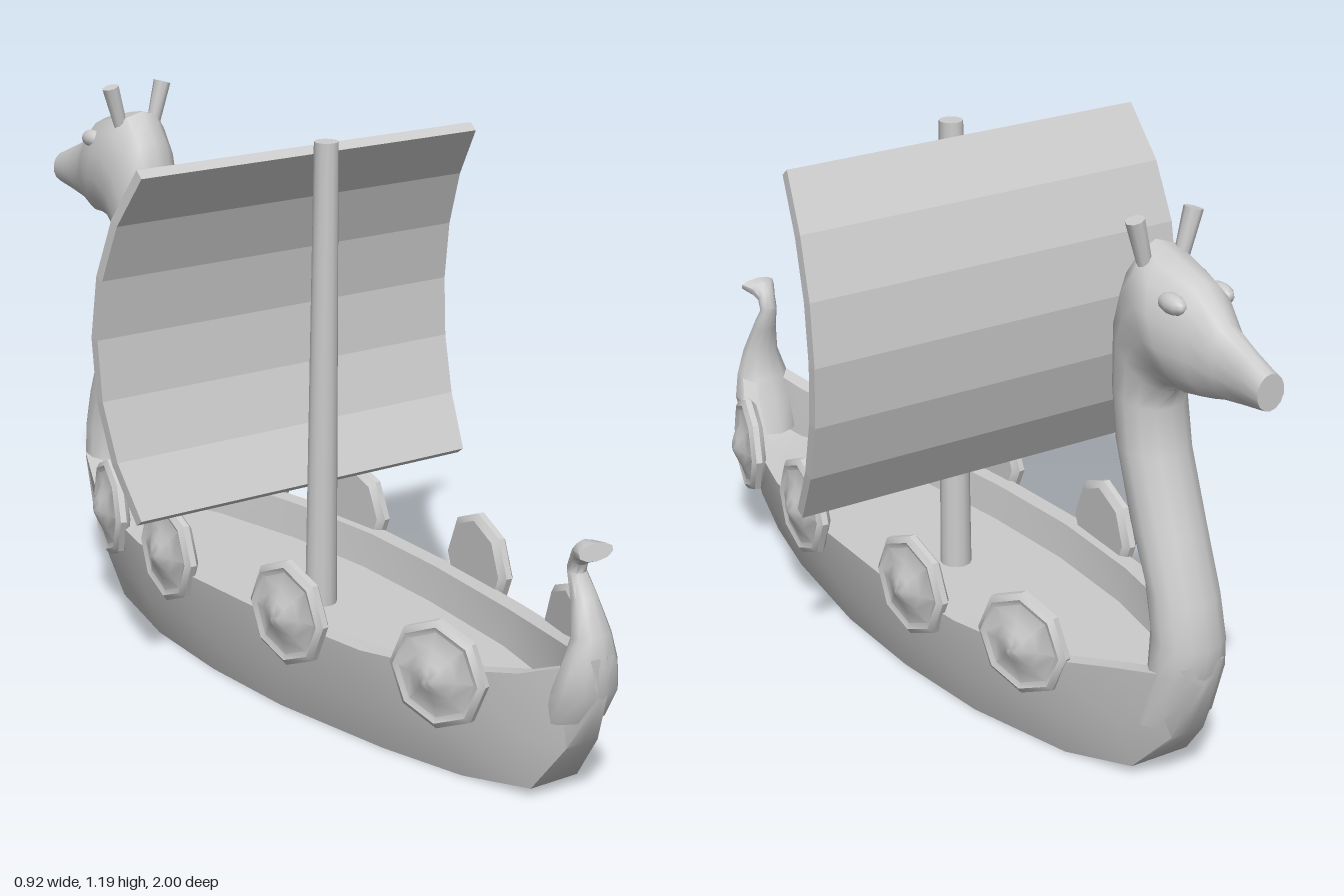
import * as THREE from 'three';
import { toCreasedNormals, mergeVertices } from 'three/addons/utils/BufferGeometryUtils.js';

const material = new THREE.MeshStandardMaterial({ color: 0xcccccc });

function part(name, geometry, parent) {
  const mesh = new THREE.Mesh(geometry, material);
  mesh.name = name;
  parent.add(mesh);
  return mesh;
}

// Skin a list of equal-sized rings and close both ends.
function loft(rings, crease) {
  const n = rings[0].length, pos = rings.flat(2), index = [];
  for (let i = 0; i < rings.length - 1; i++) {
    for (let j = 0; j < n; j++) {
      const a = i * n + j, b = i * n + (j + 1) % n, c = a + n, d = b + n;
      index.push(a, c, b, b, c, d);
    }
  }
  const last = (rings.length - 1) * n;
  for (let j = 1; j < n - 1; j++) {
    index.push(0, j, j + 1, last, last + j + 1, last + j);
  }
  const g = new THREE.BufferGeometry();
  g.setAttribute('position', new THREE.Float32BufferAttribute(pos, 3));
  g.setIndex(index);
  return toCreasedNormals(g, crease);
}

// Oval rings spanning two outline points, given as [za, ya, zb, yb, halfWidth].
function ovalRings(stations, sides) {
  return stations.map(([za, ya, zb, yb, w]) => Array.from({ length: sides }, (_, k) => {
    const t = k / sides * Math.PI * 2, c = Math.cos(t) / 2;
    return [-w * Math.sin(t), (ya + yb) / 2 + (ya - yb) * c, (za + zb) / 2 + (za - zb) * c];
  }));
}

// Hull section: outer skin, rim, inner wall and deck, mirrored across x.
function hullRing([z, yb, yr, wb, wr]) {
  const h = yr - yb, deck = Math.min(Math.max(0.15, yb + 0.04), yr - 0.01);
  const inner = Math.max(wr - 0.04, wr * 0.4);
  const half = [
    [wb, yb], [wb + (wr - wb) * 0.65, yb + h * 0.45], [wr, yr],
    [inner, yr], [inner * 0.93, deck],
  ];
  return [
    [0, yb, z], ...half.map(([x, y]) => [x, y, z]),
    [0, deck, z], ...half.reverse().map(([x, y]) => [-x, y, z]),
  ];
}

export function createModel() {
  const model = new THREE.Group();
  model.name = 'longship';

  // Hull stations: z, bottom y, rim y, bottom half width, rim half width
  part('hull', loft([
    [0.995, 0.24, 0.33, 0.01, 0.025],
    [0.94, 0.13, 0.305, 0.04, 0.06],
    [0.86, 0.02, 0.275, 0.06, 0.1],
    [0.7, 0, 0.245, 0.105, 0.165],
    [0.5, 0, 0.23, 0.155, 0.215],
    [0.2, 0, 0.228, 0.2, 0.25],
    [-0.05, 0, 0.228, 0.208, 0.26],
    [-0.3, 0, 0.228, 0.19, 0.242],
    [-0.55, 0, 0.235, 0.13, 0.19],
    [-0.7, 0.02, 0.265, 0.07, 0.125],
    [-0.79, 0.12, 0.28, 0.04, 0.085],
    [-0.84, 0.25, 0.3, 0.015, 0.045],
  ].map(hullRing), 0.9), model);

  // Neck sweeping up into the animal head and snout
  part('neckAndHead', loft(ovalRings([
    [-0.68, 0.14, -0.8, 0.15, 0.09],
    [-0.715, 0.27, -0.843, 0.27, 0.085],
    [-0.715, 0.36, -0.848, 0.33, 0.08],
    [-0.69, 0.455, -0.828, 0.42, 0.078],
    [-0.635, 0.56, -0.782, 0.55, 0.077],
    [-0.58, 0.72, -0.725, 0.7, 0.077],
    [-0.565, 0.83, -0.705, 0.8, 0.077],
    [-0.565, 0.98, -0.715, 0.84, 0.08],
    [-0.59, 1.065, -0.74, 0.858, 0.085],
    [-0.64, 1.13, -0.77, 0.863, 0.092],
    [-0.69, 1.12, -0.8, 0.862, 0.09],
    [-0.8, 1.09, -0.835, 0.867, 0.068],
    [-0.87, 1.03, -0.88, 0.88, 0.044],
    [-0.94, 1.0, -0.94, 0.89, 0.034],
    [-1, 0.975, -1, 0.9, 0.032],
  ], 14), 0.9), model);

  // Horns and brows
  for (const side of [-1, 1]) {
    const horn = part('horn', toCreasedNormals(new THREE.CylinderGeometry(0.02, 0.015, 0.11, 8), 0.9), model);
    horn.position.set(side * 0.055, 1.135, -0.665);
    horn.rotation.z = -side * 0.27;
    const brow = part('brow', new THREE.SphereGeometry(0.026, 10, 8), model);
    brow.position.set(side * 0.056, 1.05, -0.77);
    brow.scale.set(0.8, 0.8, 1.5);
  }

  // Curled tail at the other end
  part('curledTail', loft(ovalRings([
    [0.97, 0.19, 0.86, 0.17, 0.065],
    [0.998, 0.25, 0.885, 0.25, 0.075],
    [0.998, 0.31, 0.905, 0.3, 0.064],
    [0.99, 0.37, 0.922, 0.36, 0.044],
    [0.955, 0.44, 0.907, 0.43, 0.029],
    [0.925, 0.48, 0.89, 0.49, 0.021],
    [0.928, 0.498, 0.905, 0.53, 0.022],
    [0.943, 0.508, 0.925, 0.55, 0.032],
    [0.967, 0.518, 0.957, 0.551, 0.044],
  ], 10), 0.8), model);

  // Mast, slightly tapered and leaning
  const mast = part('mast', toCreasedNormals(new THREE.CylinderGeometry(0.026, 0.035, 1.04, 12), 0.7), model);
  mast.position.set(0, 0.66, 0.074);
  mast.rotation.x = 0.015;

  // Sail: a panel bent around a circular arc, wider at the middle
  const sail = new THREE.BoxGeometry(2, 1, 0.024, 1, 6, 1);
  const p = sail.attributes.position;
  for (let i = 0; i < p.count; i++) {
    const v = p.getY(i) * 2, angle = v * 0.66 + 0.033, r = 0.614 - p.getZ(i);
    p.setXYZ(i, p.getX(i) * (0.459 - 0.029 * v * v),
      0.7625 + r * Math.sin(angle), 0.507 - r * Math.cos(angle));
  }
  // Bending turns the panel inside out unless its front stays toward the arc centre
  const sailFlat = sail.toNonIndexed();
  sailFlat.computeVertexNormals();
  part('sail', sailFlat, model);

  // Eight-sided shields with a domed boss along both sides
  const profile = [
    [0, -0.016], [0.1, -0.016], [0.115, -0.004], [0.115, 0.01], [0.102, 0.019],
    [0.09, 0.014], [0.055, 0.024], [0.03, 0.036], [0.012, 0.044], [0, 0.046],
  ].map(([x, y]) => new THREE.Vector2(x, y));
  const lathe = new THREE.LatheGeometry(profile, 8);
  lathe.deleteAttribute('normal');
  lathe.deleteAttribute('uv');
  const shield = toCreasedNormals(mergeVertices(lathe), 0.7);
  // Each entry: x, y, z, turn following the hull curve
  const places = [
    [0.17, 0.24, 0.705, 0.3], [0.25, 0.258, 0.305, 0.1],
    [0.25, 0.255, -0.155, -0.08], [0.193, 0.25, -0.49, -0.3],
  ];
  for (const side of [-1, 1]) {
    for (const [x, y, z, turn] of places) {
      const holder = new THREE.Group();
      holder.name = side > 0 ? 'leftShield' : 'rightShield';
      holder.position.set(side * x, y, z);
      holder.rotation.y = side > 0 ? -turn : Math.PI + turn;
      part('shield', shield, holder).rotation.z = -Math.PI / 2;
      model.add(holder);
    }
  }
  return model;
}
